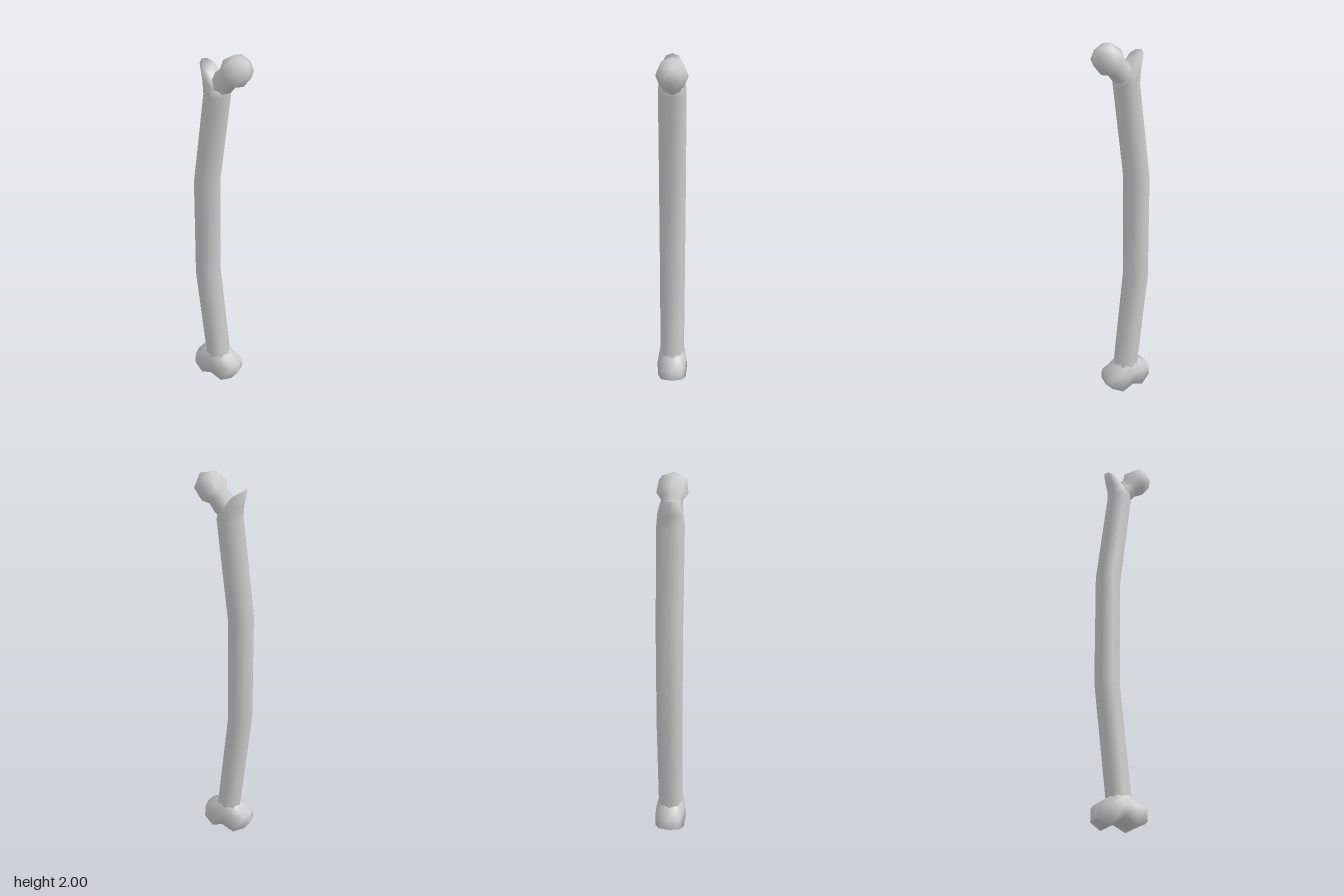
import * as THREE from 'three';
import { mergeVertices } from 'three/addons/utils/BufferGeometryUtils.js';

// Elliptical ring in the plane whose normal leans by `tilt` degrees from +x towards +y
function ring(x, y, tilt, across, depth, sides = 8) {
  const t = THREE.MathUtils.degToRad(tilt);
  return Array.from({ length: sides }, (_, i) => {
    const a = (i / sides) * Math.PI * 2;
    const c = Math.cos(a) * across;
    return [x - Math.sin(t) * c, y + Math.cos(t) * c, Math.sin(a) * depth];
  });
}

// Smooth skin stretched over a list of rings with equal point counts
function loft(name, rings, material) {
  const n = rings[0].length;
  const index = [];
  for (let i = 0; i < rings.length - 1; i++) {
    for (let j = 0; j < n; j++) {
      const k = (j + 1) % n;
      const a = i * n + j, b = i * n + k, c = a + n, d = b + n;
      index.push(a, b, d, a, d, c);
    }
  }
  let geometry = new THREE.BufferGeometry();
  geometry.setAttribute('position', new THREE.Float32BufferAttribute(rings.flat(2), 3));
  geometry.setIndex(index);
  geometry = mergeVertices(geometry, 1e-5);
  geometry.computeVertexNormals();
  const mesh = new THREE.Mesh(geometry, material);
  mesh.name = name;
  return mesh;
}

export function createModel() {
  const group = new THREE.Group();
  group.name = 'thighBone';
  const material = new THREE.MeshStandardMaterial({ color: 0xcccccc });

  // Bowed shaft flowing into the slanted, hollowed outer crest at the top
  group.add(loft('shaft', [
    ring(-0.022, 0.12, 90, 0.066, 0.066),
    ring(-0.085, 0.7, 90, 0.067, 0.067),
    ring(-0.085, 1.28, 90, 0.067, 0.067),
    ring(-0.024, 1.79, 90, 0.066, 0.066),
    ring(-0.034, 1.845, 80, 0.062, 0.06),
    ring(-0.072, 1.912, 59, 0.044, 0.044),
    ring(-0.066, 1.9, 59, 0, 0),
  ], material));

  // Neck and ball head along one slanted axis
  group.add(loft('neckAndHead', [
    ring(-0.045, 1.79, 45, 0.045, 0.045),
    ring(0.003, 1.846, 48, 0.058, 0.056),
    ring(0.037, 1.882, 45, 0.053, 0.05),
    ring(0.059, 1.908, 45, 0.074, 0.074),
    ring(0.106, 1.954, 45, 0.064, 0.066),
    ring(0.132, 1.981, 45, 0, 0),
  ], material));

  // Two-lobed knee end: outline given for one quarter, then mirrored round
  const quarter = [[0.13, 0], [0.12, 0.058], [0.063, 0.078], [0, 0.085]];
  const outline = [
    ...quarter.map(([x, z]) => [-x, z]),
    ...quarter.slice(0, 3).reverse(),
    ...quarter.slice(1).map(([x, z]) => [x, -z]),
    ...quarter.slice(1, 3).reverse().map(([x, z]) => [-x, -z]),
  ];
  const cx = -0.022;
  const underside = [0.03, 0.03, 0, 0.035];
  const lobeY = (x) => underside[quarter.findIndex((q) => q[0] === Math.abs(x))];
  const level = (y, sx, sz) => outline.map(([x, z]) =>
    [cx + x * sx, typeof y === 'function' ? y(x) : y, z * sz]);
  group.add(loft('kneeEnd', [
    level(lobeY, 1, 0),
    level(lobeY, 1, 1),
    level(0.093, 1, 0.92),
    ring(cx, 0.135, 90, 0.067, 0.067, 12),
    ring(cx, 0.16, 90, 0.055, 0.055, 12),
  ], material));

  return group;
}
